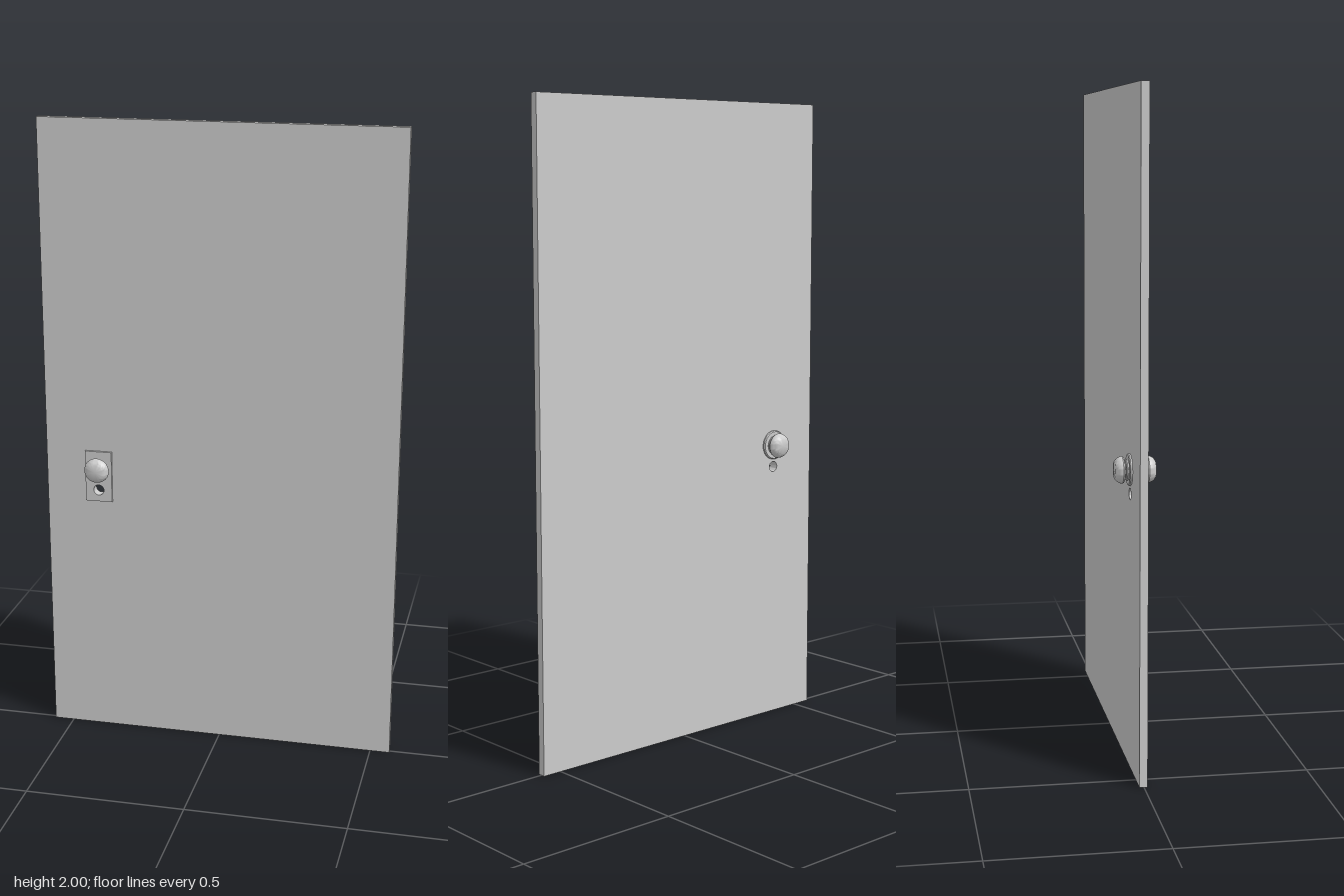
import * as THREE from 'three';
import { toCreasedNormals } from 'three/addons/utils/BufferGeometryUtils.js';

const KNOB_X = -0.391, KNOB_Y = 0.9, HOLE_Y = 0.828, HOLE_R = 0.017;
const BACK = -0.0135, FRONT = 0.0105;

export function createModel() {
  const model = new THREE.Group();
  const material = new THREE.MeshStandardMaterial({ color: 0xcccccc });

  const add = (name, geometry, parent = model) => {
    const mesh = new THREE.Mesh(toCreasedNormals(geometry, 0.6), material);
    mesh.name = name;
    parent.add(mesh);
    return mesh;
  };

  // Flat rectangular panel pierced by the round keyhole
  const panel = (x0, x1, y0, y1, z0, z1) => {
    const shape = new THREE.Shape([[x0, y0], [x1, y0], [x1, y1], [x0, y1]]
      .map(([x, y]) => new THREE.Vector2(x, y)));
    shape.holes.push(new THREE.Path().absarc(KNOB_X, HOLE_Y, HOLE_R, 0, Math.PI * 2, true));
    return new THREE.ExtrudeGeometry(shape, { depth: z1 - z0, bevelEnabled: false, curveSegments: 24 })
      .translate(0, 0, z0);
  };

  // Door leaf and the front lock plate
  add('doorPanel', panel(-0.5625, 0.5625, 0, 2, BACK, FRONT));
  add('lockPlate', panel(KNOB_X - 0.043, KNOB_X + 0.043, 0.79, 0.956, FRONT, 0.0185));

  // Turned part: [radius, distance from the door centre], along +z
  const turned = (points) => new THREE.LatheGeometry(
    points.map(([r, d]) => new THREE.Vector2(r, d)), 40).rotateX(Math.PI / 2);

  // Knob, neck and collar, one set on each side
  for (const side of ['front', 'back']) {
    const set = new THREE.Group();
    set.name = side + 'Knob';
    set.position.set(KNOB_X, KNOB_Y, 0);
    if (side === 'back') set.rotation.y = Math.PI;

    add('collar', turned([[0, 0.012], [0.031, 0.012], [0.031, 0.025], [0.028, 0.028], [0, 0.028]]), set);
    add('neck', turned([[0, 0.02], [0.022, 0.02], [0.022, 0.036], [0, 0.036]]), set);
    add('knobHead', turned([
      [0, 0.032], [0.034, 0.032], [0.038, 0.034], [0.04, 0.038], [0.039, 0.043],
      [0.036, 0.05], [0.031, 0.056], [0.025, 0.06], [0, 0.06],
    ]), set);
    // Round rosette against the back of the door
    if (side === 'back') {
      add('rosette', turned([[0, 0.012], [0.047, 0.012], [0.047, 0.018], [0.044, 0.021], [0, 0.021]]), set);
    }
    model.add(set);
  }
  return model;
}
